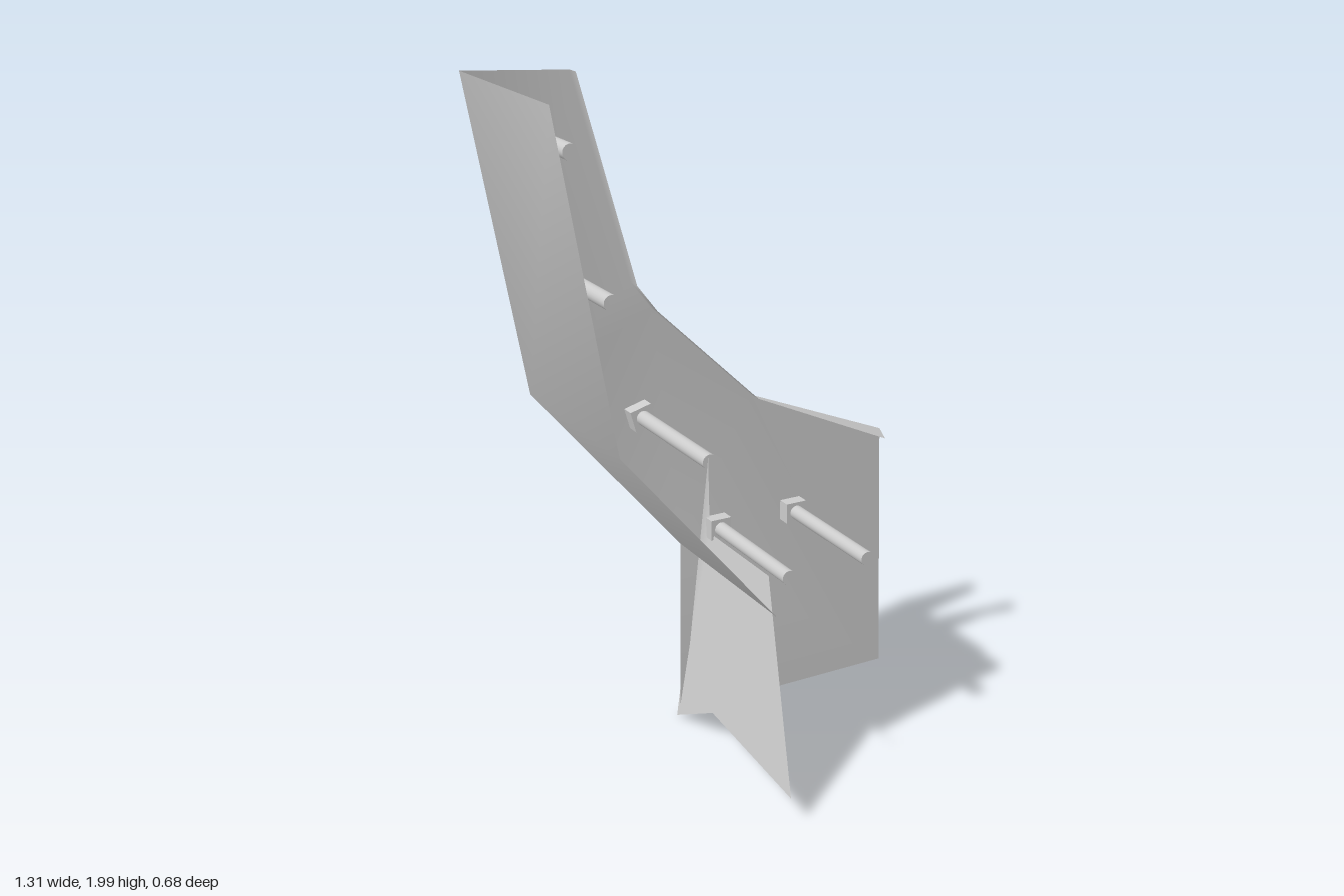
import * as THREE from 'three';

const BACK = -0.33, LIP = -0.29, FRONT = 0.23;

export function createModel() {
  const model = new THREE.Group();
  const sheetMaterial = new THREE.MeshStandardMaterial({ color: 0xcccccc, side: THREE.DoubleSide });
  const solidMaterial = new THREE.MeshStandardMaterial({ color: 0xcccccc });

  // Shared corners give smooth shading across the folds
  function addSheet(name, points, faces) {
    const geometry = new THREE.BufferGeometry();
    geometry.setAttribute('position', new THREE.Float32BufferAttribute(points.flat(), 3));
    geometry.setIndex(faces.flat());
    geometry.computeVertexNormals();
    const mesh = new THREE.Mesh(geometry, sheetMaterial);
    mesh.name = name;
    model.add(mesh);
  }

  // Curved back plate with a deep wall on one edge and a narrow lip on the other
  const left = [[-0.66, 2], [-0.51, 1.12], [-0.06, 0.58]];
  const right = [[-0.36, 1.98], [-0.2, 1.39], [-0.14, 1.31], [0.18, 1]];
  const points = [
    ...left.map(([x, y]) => [x, y, BACK]),          // 0-2
    ...left.map(([x, y]) => [x, y, FRONT]),         // 3-5
    ...right.map(([x, y]) => [x, y, BACK]),         // 6-9
    ...right.map(([x, y]) => [x, y, LIP]),          // 10-13
    [-0.068, 0.02, BACK], [0.65, 0.02, BACK],       // 14-15
  ];
  const faces = [
    [0, 1, 6], [1, 7, 6], [1, 8, 7], [1, 2, 8], [2, 9, 8], [2, 15, 9], [2, 14, 15],
  ];
  for (let i = 0; i < 2; i++) faces.push([3 + i, 4 + i, 1 + i], [3 + i, 1 + i, i]);
  for (let i = 6; i < 9; i++) faces.push([i, i + 1, i + 5], [i, i + 5, i + 4]);
  addSheet('foldedPlate', points, faces);

  // Flat wing beside the lower plate, with its own lip
  addSheet('wing', [[0.18, 1, BACK], [0.65, 0.02, BACK], [0.63, 0.815, BACK]], [[0, 1, 2]]);
  addSheet('wingLip',
    [[0.18, 1, BACK], [0.63, 0.815, BACK], [0.625, 0.795, LIP], [0.18, 1, LIP]],
    [[0, 1, 2], [0, 2, 3]]);

  // Leaning lower flap
  addSheet('lowerFlap', [
    [-0.075, 0.01, -0.34], [-0.06, 0.11, -0.14], [-0.078, 0.085, 0.34],
    [0.03, 0.6, 0.03], [0.03, 0.6, -0.315], [0.035, 0.83, BACK],
  ], [[0, 4, 1], [1, 4, 3], [1, 3, 2], [0, 5, 4]]);

  // Hollow pegs, each on a square base
  const baseGeometry = new THREE.BoxGeometry(0.066, 0.062, 0.05);
  const rodGeometry = new THREE.CylinderGeometry(0.021, 0.021, 0.39, 20, 1, true).rotateX(Math.PI / 2);
  const pegs = [
    [-0.555, 1.86, 0.27], [-0.46, 1.477, 0.27], [-0.19, 1.007, 0.27],
    [0.055, 0.617, 0], [0.312, 0.617, 0],
  ];
  for (const [x, y, turn] of pegs) {
    const peg = new THREE.Group();
    peg.name = 'peg';
    const base = new THREE.Mesh(baseGeometry, solidMaterial);
    base.name = 'pegBase';
    base.position.z = -0.315;
    const rod = new THREE.Mesh(rodGeometry, solidMaterial);
    rod.name = 'pegRod';
    rod.position.z = -0.095;
    peg.add(base, rod);
    peg.position.set(x, y, 0);
    peg.rotation.z = turn;
    model.add(peg);
  }
  return model;
}
